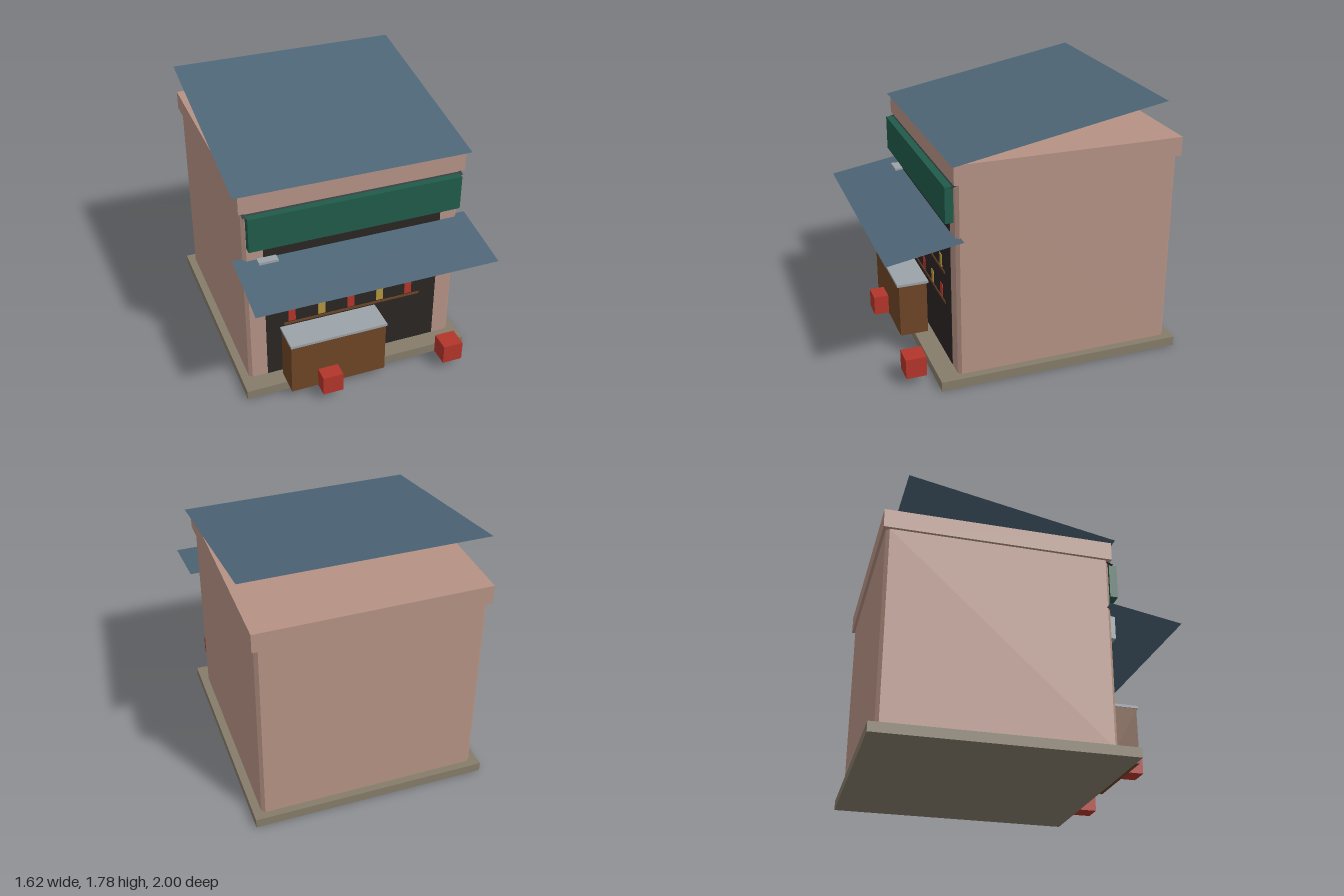
import * as THREE from 'three';

const mat = (color, side = THREE.FrontSide) => new THREE.MeshStandardMaterial({ color, side });

const M = {
  plaster: mat(0xb59284),
  slate: mat(0x4d6576, THREE.DoubleSide),
  dark: mat(0x2a2523),
  trim: mat(0x2b3538, THREE.DoubleSide),
  wood: mat(0x6e4526),
  metal: mat(0x9aa2a8),
  stone: mat(0x857b69),
  green: mat(0x205a48),
  red: mat(0xb2352a),
  yellow: mat(0xb3943c),
};

export function createModel() {
  const group = new THREE.Group();

  const add = (name, geometry, material) => {
    const mesh = new THREE.Mesh(geometry, material);
    mesh.name = name;
    group.add(mesh);
    return mesh;
  };

  // Box given by its lower and upper limits on each axis
  const box = (name, material, [x0, x1], [y0, y1], [z0, z1]) =>
    add(name, new THREE.BoxGeometry(x1 - x0, y1 - y0, z1 - z0), material)
      .position.set((x0 + x1) / 2, (y0 + y1) / 2, (z0 + z1) / 2);

  // Thin sheet sloping from a high back edge down to a low front edge
  const sheet = (name, material, width, [zBack, yBack], [zFront, yFront]) => {
    const run = zFront - zBack, drop = yBack - yFront;
    const geometry = new THREE.PlaneGeometry(width, Math.hypot(run, drop));
    geometry.rotateX(-Math.PI / 2 + Math.atan2(drop, run));
    add(name, geometry, material)
      .position.set(0, (yBack + yFront) / 2, (zBack + zFront) / 2);
  };

  // Plinth
  box('base', M.stone, [-0.8, 0.8], [0, 0.065], [-1, 0.67]);

  // Walls: a plan with chamfered corners, extruded upwards
  const w = 0.745, front = 0.54, back = 0.95, c = 0.022;
  const plan = new THREE.Shape([
    [-w + c, -front], [w - c, -front], [w, -front + c], [w, back - c],
    [w - c, back], [-w + c, back], [-w, back - c], [-w, -front + c],
  ].map(([x, y]) => new THREE.Vector2(x, y)));
  const walls = new THREE.ExtrudeGeometry(plan, { depth: 1.325, bevelEnabled: false });
  walls.rotateX(-Math.PI / 2);
  add('walls', walls, M.plaster).position.y = 0.065;

  // Parapet slab and sloping sheets
  box('parapet', M.plaster, [-0.765, 0.765], [1.39, 1.518], [-0.97, 0.555]);
  sheet('roof', M.slate, 1.6, [-0.83, 1.78], [0.57, 1.52]);
  sheet('awning', M.slate, 1.62, [0.51, 1.033], [1, 0.95]);
  sheet('fasciaTrim', M.trim, 1.49, [0.5, 1.39], [0.57, 1.366]);

  // Shop front
  box('signBoard', M.green, [-0.723, 0.723], [1.133, 1.372], [0.548, 0.602]);
  box('shopOpening', M.dark, [-0.615, 0.615], [0.065, 1.125], [0.5, 0.542]);
  box('ventUnit', M.metal, [-0.66, -0.53], [0.86, 1.035], [0.535, 0.597]);

  // Shelves with goods in alternating colours
  [0.47, 0.688, 0.906].forEach((top, row) => {
    box('shelf', M.wood, [-0.49, 0.49], [top - 0.017, top], [0.5, 0.546]);
    for (let i = 0; i < 5; i++) {
      const x = -0.434 + i * 0.21;
      box('goods', (i + row) % 2 ? M.yellow : M.red,
        [x - 0.025, x + 0.025], [top + 0.008, top + 0.094], [0.5, 0.546]);
    }
  });

  // Counter
  box('counter', M.wood, [-0.52, 0.148], [0.065, 0.442], [0.575, 0.77]);
  box('counterTop', M.metal, [-0.525, 0.152], [0.442, 0.46], [0.563, 0.782]);

  // Crates
  for (const x of [-0.265, 0.615]) {
    box('crate', M.red, [x - 0.07, x + 0.07], [0.067, 0.205], [0.735, 0.873]);
  }

  return group;
}
